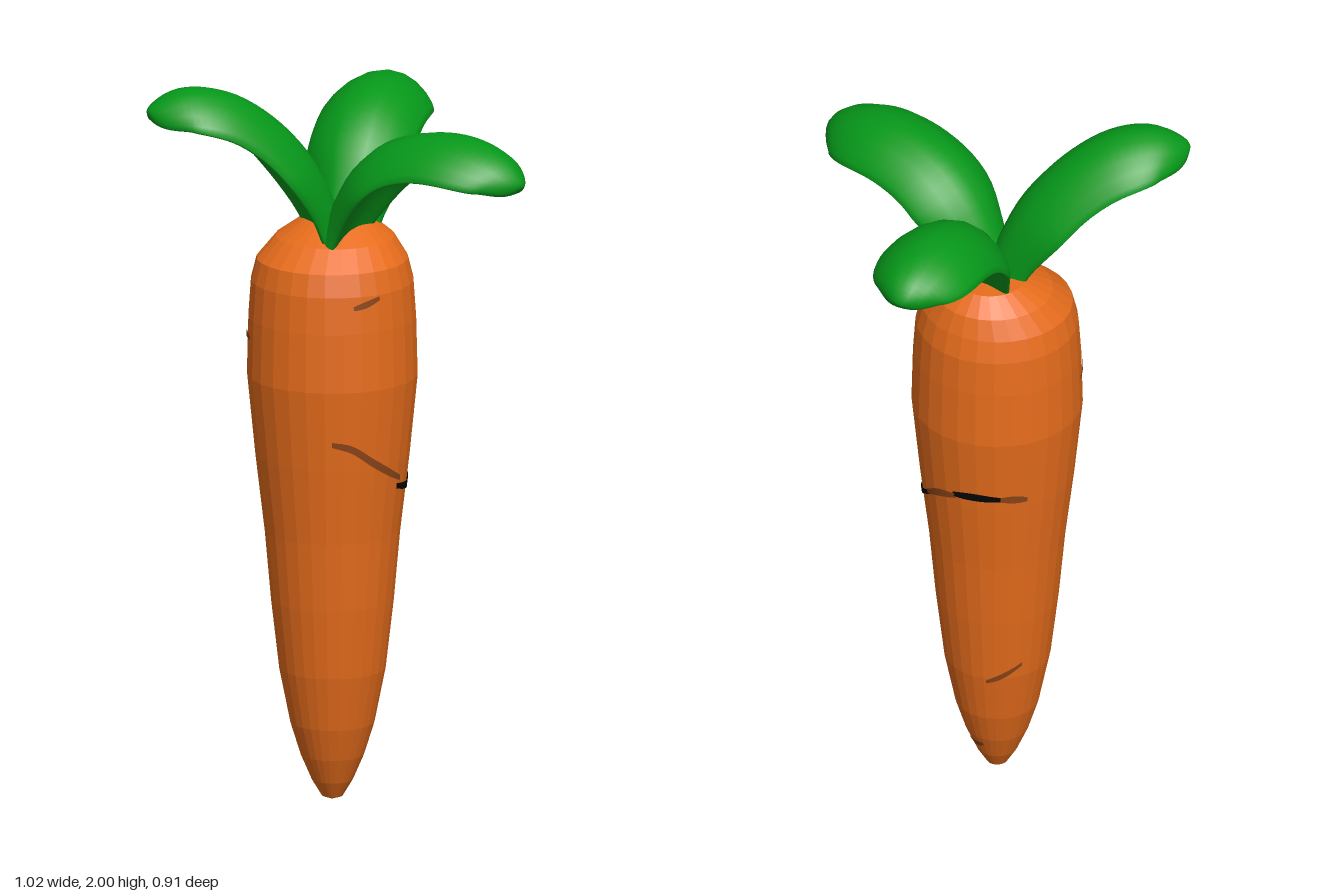
import * as THREE from 'three';

const mat = (name, color, extra = {}) => new THREE.MeshStandardMaterial({ name, color, ...extra });
const V = (x, y, z) => new THREE.Vector3(x, y, z);

const CX = -0.075, CZ = 0.093; // axis of the root
// Root profile: radius, height
const PROFILE = [
  [0, 0.005], [0.028, 0.015], [0.055, 0.06], [0.085, 0.13], [0.113, 0.22], [0.143, 0.37],
  [0.165, 0.56], [0.182, 0.75], [0.207, 0.96], [0.229, 1.18], [0.225, 1.34], [0.218, 1.44],
  [0.203, 1.5], [0.16, 1.555], [0.095, 1.6], [0, 1.606],
];

function radiusAt(y) {
  for (let i = 1; i < PROFILE.length; i++) {
    const [r0, y0] = PROFILE[i - 1], [r1, y1] = PROFILE[i];
    if (y <= y1) return THREE.MathUtils.lerp(r0, r1, (y - y0) / (y1 - y0));
  }
  return 0;
}

function gridGeometry(positions, index) {
  const g = new THREE.BufferGeometry();
  g.setAttribute('position', new THREE.Float32BufferAttribute(positions, 3));
  g.setIndex(index);
  g.computeVertexNormals();
  return g;
}

// Thin band lying on the root; points are [degrees from front towards +x, height]
function crackGeometry(points, width) {
  const curve = new THREE.CatmullRomCurve3(points.map(([a, y]) => V(a / 100, y, 0)));
  const n = points.length * 8, pos = [], index = [];
  for (let i = 0; i <= n; i++) {
    const p = curve.getPoint(i / n), a = THREE.MathUtils.degToRad(p.x * 100);
    const half = width / 2 * (0.6 + 0.4 * Math.sin(Math.PI * i / n));
    for (const s of [-1, 1]) {
      const y = p.y + s * half, r = radiusAt(y) + 0.003;
      pos.push(CX + r * Math.sin(a), y, CZ + r * Math.cos(a));
    }
    if (i < n) {
      const k = i * 2;
      index.push(k, k + 2, k + 1, k + 1, k + 2, k + 3);
    }
  }
  return gridGeometry(pos, index);
}

// Arched leaf, cambered across; spine points are [distance from base, height]
function leafGeometry(base, tip, spine, W) {
  const dir = V(tip[0] - base[0], 0, tip[1] - base[1]).normalize();
  const curve = new THREE.CatmullRomCurve3(
    spine.map(([s, y]) => V(base[0] + dir.x * s, y, base[1] + dir.z * s)));
  const side = V(dir.z, 0, -dir.x);
  const rings = 32, seg = 20, pos = [], index = [];
  for (let i = 0; i <= rings; i++) {
    const t = Math.sin(i / rings * Math.PI / 2);
    const p = curve.getPointAt(t), up = curve.getTangentAt(t).cross(side);
    const cap = t < 0.66 ? 1 : Math.sqrt(Math.max(0, 1 - ((t - 0.66) / 0.34) ** 2.5));
    const grow = 0.6 + 0.4 * THREE.MathUtils.smoothstep(t, 0, 0.36);
    const w = W * grow * cap, thick = 0.036 * Math.sqrt(cap), camber = 0.068 * grow * cap;
    for (let j = 0; j < seg; j++) {
      const a = j / seg * Math.PI * 2, c = Math.cos(a);
      const q = p.clone().addScaledVector(side, c * w)
        .addScaledVector(up, Math.sin(a) * thick - camber * c * c);
      pos.push(q.x, q.y, q.z);
      if (i < rings) {
        const k = i * seg + j, m = i * seg + (j + 1) % seg;
        index.push(k, m, k + seg, m, m + seg, k + seg);
      }
    }
  }
  return gridGeometry(pos, index);
}

export function createModel() {
  const group = new THREE.Group();
  group.name = 'carrot';
  const orange = mat('carrot orange', 0xe66c1c, { flatShading: true });
  const green = mat('leaf green', 0x06981a, { side: THREE.DoubleSide });
  const brown = mat('crack brown', 0x8a4518, { side: THREE.DoubleSide });
  const black = mat('crack black', 0x060504, { side: THREE.DoubleSide });
  const add = (name, geometry, material) => {
    const mesh = new THREE.Mesh(geometry, material);
    mesh.name = name;
    group.add(mesh);
  };

  // Root, with its shoulder leaning slightly back
  const root = new THREE.LatheGeometry(PROFILE.map(([r, y]) => new THREE.Vector2(r, y)), 28);
  const p = root.attributes.position;
  for (let i = 0; i < p.count; i++) {
    const y = p.getY(i);
    p.setXYZ(i, p.getX(i) + CX, y, p.getZ(i) + CZ - Math.max(0, y - 1.5) * 0.4);
  }
  root.computeVertexNormals();
  add('root', root, orange);

  // Long crack around the side and back, alternately shallow (brown) and deep (black)
  [
    [brown, [[18, 1.035], [32, 1.02], [50, 0.975], [66, 0.94], [80, 0.915]]],
    [black, [[76, 0.895], [92, 0.885], [108, 0.882], [122, 0.9], [148, 0.95]]],
    [brown, [[144, 0.945], [160, 0.975], [176, 0.99]]],
    [black, [[174, 0.995], [190, 1.0], [212, 0.997]]],
    [brown, [[210, 0.997], [220, 0.995], [230, 0.99]]],
  ].forEach(([m, points], i) => add('longCrack' + (i + 1), crackGeometry(points, 0.024), m));

  // Small scratches
  [
    [[33, 1.41], [42, 1.418], [53, 1.432]],
    [[-76, 1.285], [-66, 1.295], [-56, 1.29]],
    [[196, 0.36], [212, 0.38], [234, 0.415]],
    [[145, 0.115], [162, 0.105], [180, 0.11]],
  ].forEach((points, i) => add('scratch' + (i + 1), crackGeometry(points, 0.018), brown));

  // Three leaves
  add('backLeaf', leafGeometry([-0.055, 0.075], [-0.07, -0.46],
    [[0, 1.56], [0.05, 1.66], [0.11, 1.765], [0.19, 1.835], [0.3, 1.875], [0.41, 1.875], [0.49, 1.85], [0.535, 1.81]], 0.147), green);
  add('leftLeaf', leafGeometry([-0.06, 0.13], [0.515, 0.265],
    [[0, 1.56], [0.05, 1.66], [0.11, 1.755], [0.19, 1.82], [0.31, 1.857], [0.43, 1.855], [0.53, 1.82], [0.585, 1.77]], 0.147), green);
  add('rightLeaf', leafGeometry([-0.065, 0.115], [-0.49, 0.405],
    [[0, 1.56], [0.04, 1.67], [0.1, 1.78], [0.2, 1.885], [0.31, 1.95], [0.42, 1.965], [0.515, 1.93]], 0.14), green);

  return group;
}
